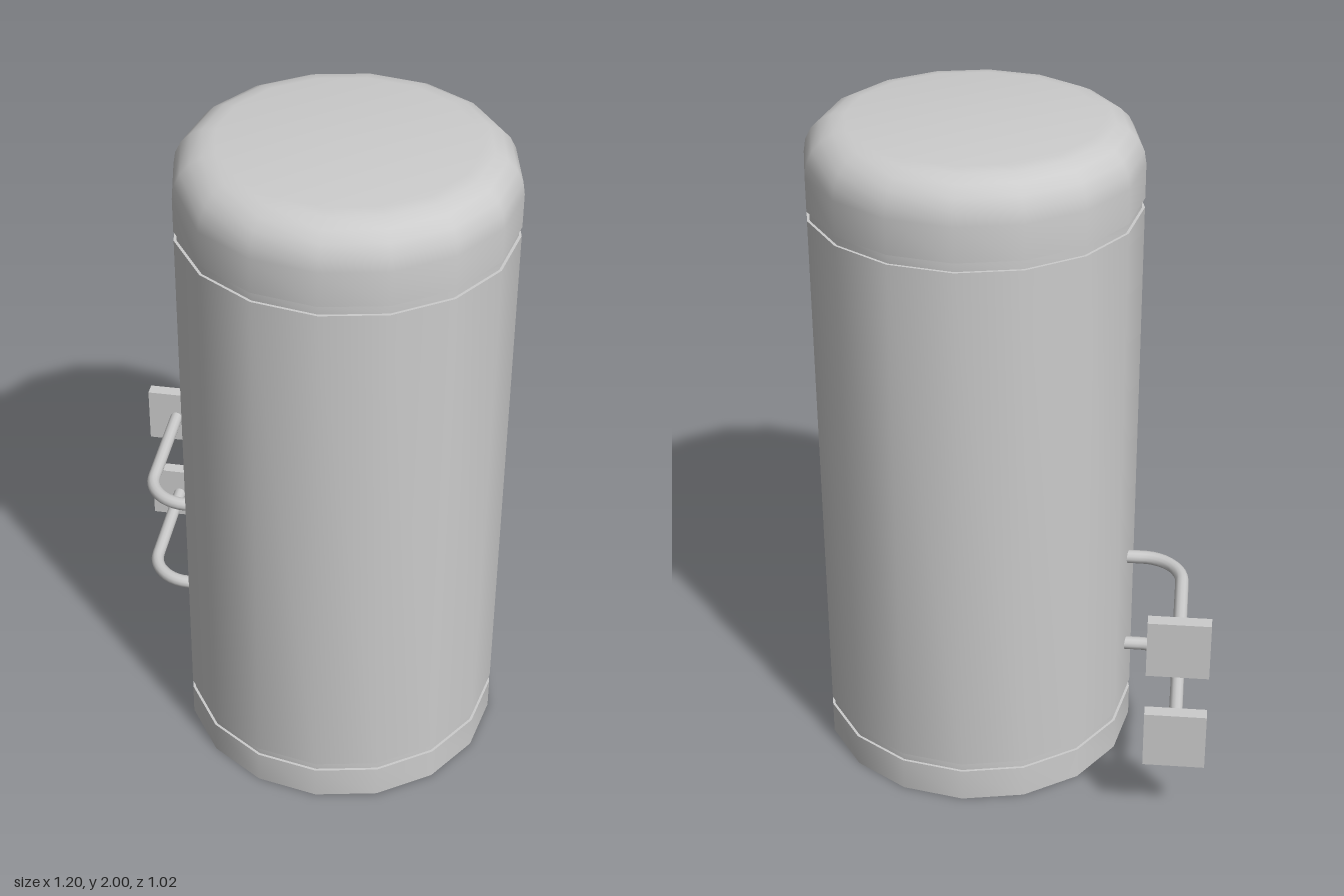
import * as THREE from 'three';
import { toCreasedNormals } from 'three/addons/utils/BufferGeometryUtils.js';

const SIDES = 16, RADIUS = 0.478, GROOVE = 0.47;
const BEND = 0.122; // corner size of the pipe elbow

export function createModel() {
  const model = new THREE.Group();
  const material = new THREE.MeshStandardMaterial({ color: 0xcccccc });
  const shellMaterial = new THREE.MeshStandardMaterial({ color: 0xcccccc, side: THREE.DoubleSide });

  // Tank shell: open bottom, two seam grooves and a rounded lid
  const profile = [
    [RADIUS, 0], [RADIUS, 0.103], [GROOVE, 0.103], [GROOVE, 0.13], [RADIUS, 0.13],
    [RADIUS, 1.75], [GROOVE, 1.75], [GROOVE, 1.778], [RADIUS, 1.778],
  ].map(([r, y]) => new THREE.Vector2(r, y));
  for (let i = 0; i <= 5; i++) {
    const a = (i / 5) * Math.PI / 2;
    profile.push(new THREE.Vector2(RADIUS - 0.12 + 0.12 * Math.cos(a), 1.88 + 0.12 * Math.sin(a)));
  }
  profile.push(new THREE.Vector2(0, 2));
  const shell = new THREE.Mesh(
    toCreasedNormals(new THREE.LatheGeometry(profile, SIDES), 0.6), shellMaterial);
  shell.name = 'tankShell';
  shell.position.set(0.12, 0, 0.033);
  model.add(shell);

  // Elbow pipe path: out of the tank wall, then round to the back
  const v = (x, z) => new THREE.Vector3(x, 0, z);
  const px = -0.51, pz = -0.033, k = BEND * 0.448;
  const path = new THREE.CurvePath();
  path.add(new THREE.LineCurve3(v(-0.325, pz), v(px + BEND, pz)));
  path.add(new THREE.CubicBezierCurve3(
    v(px + BEND, pz), v(px + k, pz), v(px, pz - k), v(px, pz - BEND)));
  path.add(new THREE.LineCurve3(v(px, pz - BEND), v(px, -0.48)));
  const pipeGeometry = new THREE.TubeGeometry(path, 30, 0.02, 12, false);
  const plateGeometry = new THREE.BoxGeometry(0.18, 0.18, 0.04);

  // Two identical pipes, each ending in a square flange plate
  [['lower', 0.317], ['upper', 0.635]].forEach(([level, y]) => {
    const connection = new THREE.Group();
    connection.name = level + 'Connection';
    connection.position.y = y;
    const pipe = new THREE.Mesh(pipeGeometry, shellMaterial);
    pipe.name = level + 'Pipe';
    const plate = new THREE.Mesh(plateGeometry, material);
    plate.name = level + 'FlangePlate';
    plate.position.set(px, 0, -0.492);
    connection.add(pipe, plate);
    model.add(connection);
  });

  return model;
}
